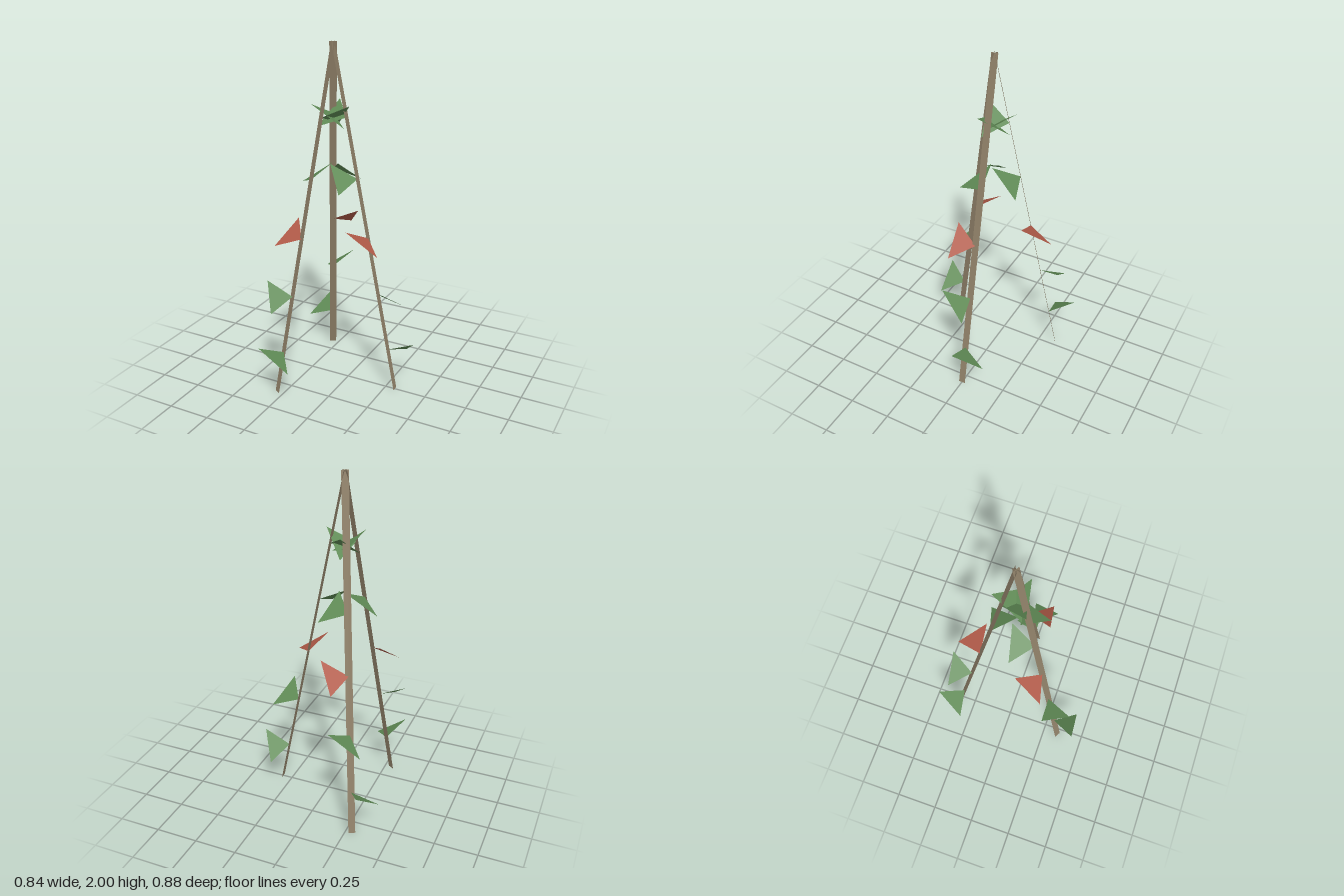
import * as THREE from 'three';

const HEIGHT = 2, SPREAD = 0.4, POLE_WIDTH = 0.04, LEVELS = 5;

const paint = (color) => new THREE.MeshStandardMaterial({ color, side: THREE.DoubleSide, flatShading: true });

// Flat polygon from a fan of corners
function flatPanel(name, corners, material) {
  const geometry = new THREE.BufferGeometry().setFromPoints(corners);
  const index = [];
  for (let i = 1; i < corners.length - 1; i++) index.push(0, i, i + 1);
  geometry.setIndex(index);
  geometry.computeVertexNormals();
  const mesh = new THREE.Mesh(geometry, material);
  mesh.name = name;
  return mesh;
}

export function createModel() {
  const model = new THREE.Group();
  model.name = 'beanTripod';
  const wood = paint(0x8f8068), green = paint(0x5f8a55), red = paint(0xb05a48);
  const V = (x, y, z) => new THREE.Vector3(x, y, z);

  // Three identical climbing poles leaning together at the apex
  for (let k = 0; k < 3; k++) {
    const side = new THREE.Group();
    side.name = 'climbingPole' + (k + 1);
    side.position.x = -0.09;
    side.rotation.y = -k * Math.PI * 2 / 3;

    // Thin slat, facing outwards
    const w = POLE_WIDTH / 2;
    side.add(flatPanel('pole', [
      V(SPREAD, 0, w), V(SPREAD, 0, -w), V(0, HEIGHT, -w), V(0, HEIGHT, w),
    ], wood));

    // Leaves spiral up the pole, one radian per step; the middle one is red
    for (let i = 0; i < LEVELS; i++) {
      const y = 0.25 + 0.3375 * i;
      const r = SPREAD * (1 - y / HEIGHT);
      const tip = (angle, lift) => V(r + 0.16 * Math.cos(angle), y + lift, 0.16 * Math.sin(angle));
      const isRed = i === 2;
      side.add(flatPanel(isRed ? 'redFlower' : 'leaf',
        [V(r, y, 0), tip(i, 0.072), tip(i - 1.2, -0.055)], isRed ? red : green));
    }
    model.add(side);
  }
  return model;
}
